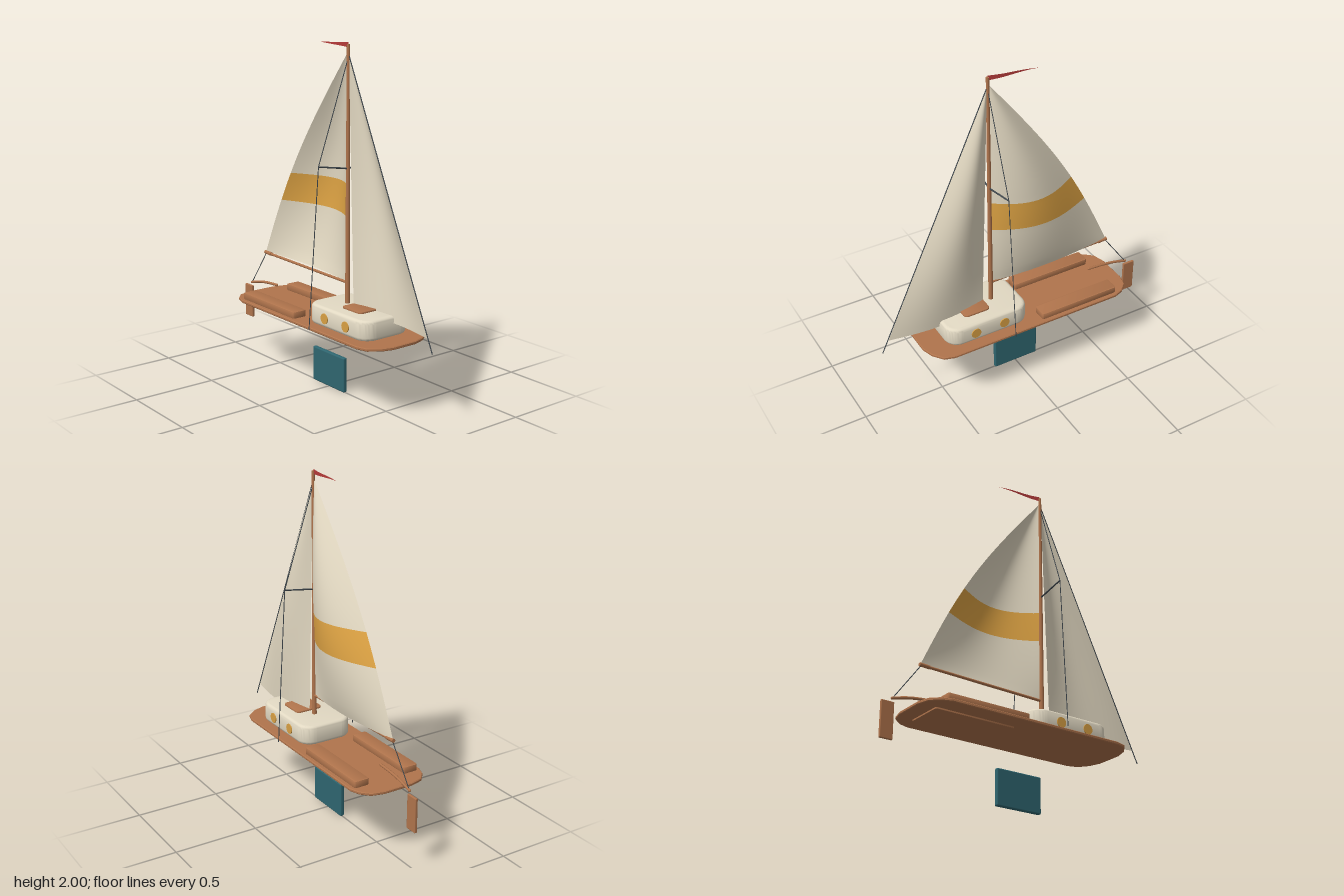
import * as THREE from 'three';
import { toCreasedNormals } from 'three/addons/utils/BufferGeometryUtils.js';
import { RoundedBoxGeometry } from 'three/addons/geometries/RoundedBoxGeometry.js';

const paint = (name, color, side = THREE.FrontSide) => {
  const m = new THREE.MeshStandardMaterial({ color, side });
  m.name = name;
  return m;
};
const V = (x, y, z) => new THREE.Vector3(x, y, z);

// Rounded rectangle in the x-z plane
function roundedRect(halfX, z0, z1, r) {
  const s = new THREE.Shape();
  s.moveTo(-halfX + r, z0);
  s.lineTo(halfX - r, z0);
  s.absarc(halfX - r, z0 + r, r, -Math.PI / 2, 0, false);
  s.absarc(halfX - r, z1 - r, r, 0, Math.PI / 2, false);
  s.absarc(-halfX + r, z1 - r, r, Math.PI / 2, Math.PI, false);
  s.absarc(-halfX + r, z0 + r, r, Math.PI, Math.PI * 1.5, false);
  return s;
}

// Horizontal slab between two heights, with a bevel grown inwards
function slab(shape, y0, y1, bevel, bevelSegments = 2) {
  const g = new THREE.ExtrudeGeometry(shape, {
    depth: y1 - y0 - 2 * bevel, bevelEnabled: true, bevelSize: bevel, bevelOffset: -bevel,
    bevelThickness: bevel, bevelSegments, curveSegments: 8,
  });
  g.rotateX(Math.PI / 2);
  g.translate(0, y1 - bevel, 0);
  return toCreasedNormals(g, 0.6);
}

// Straight round bar from a to b
function bar(a, b, r0, r1 = r0, sides = 10) {
  const d = b.clone().sub(a);
  const g = new THREE.CylinderGeometry(r1, r0, d.length(), sides);
  g.applyQuaternion(new THREE.Quaternion().setFromUnitVectors(V(0, 1, 0), d.normalize()));
  const mid = a.clone().add(b).multiplyScalar(0.5);
  return g.translate(mid.x, mid.y, mid.z);
}

// Smooth grid over u = 0..1 and v = v0..v1
function sheet(at, v0, v1, nu, nv) {
  const pos = [], index = [];
  for (let j = 0; j <= nv; j++) {
    for (let i = 0; i <= nu; i++) {
      pos.push(...at(i / nu, v0 + (v1 - v0) * j / nv));
      if (i < nu && j < nv) {
        const a = j * (nu + 1) + i, b = a + nu + 1;
        index.push(a, a + 1, b, a + 1, b + 1, b);
      }
    }
  }
  const g = new THREE.BufferGeometry();
  g.setAttribute('position', new THREE.Float32BufferAttribute(pos, 3));
  g.setIndex(index);
  g.computeVertexNormals();
  return g;
}

// Mainsail: straight luff on the mast, rounded leech, belly towards +x
function mainsailAt(u, v) {
  const chord = 0.785 * (1 - v) + 0.075 * Math.sin(Math.PI * v);
  const belly = 0.03 * (1 - v) + 0.088 * Math.sin(Math.PI * Math.pow(v, 0.85));
  return [
    belly * Math.sin(Math.PI * Math.pow(u, 0.9)),
    0.665 + 1.275 * v + 0.02 * u * Math.pow(1 - v, 4),
    0.15 - chord * u,
  ];
}

// Jib: luff on the forestay, leech just ahead of the mast
function jibAt(u, v) {
  const luff = 0.82 + (0.168 - 0.82) * v, leech = 0.215 + (0.165 - 0.215) * v;
  const belly = 0.035 * (1 - v) + 0.048 * Math.sin(Math.PI * v);
  return [belly * Math.sin(Math.PI * u), 0.505 + 1.415 * v, luff + (leech - luff) * u];
}

export function createModel() {
  const wood = paint('wood', 0xb0744c);
  const cream = paint('cabin cream', 0xe2d9c3);
  const canvas = paint('sail canvas', 0xe4dac3, THREE.DoubleSide);
  const stripe = paint('sail stripe gold', 0xdfa444, THREE.DoubleSide);
  const brass = paint('porthole gold', 0xd9a044);
  const teal = paint('keel teal', 0x2f6670);
  const wire = paint('rigging grey', 0x40484e);
  const red = paint('pennant red', 0xb83c3a, THREE.DoubleSide);

  const boat = new THREE.Group();
  boat.name = 'sailboat';
  const add = (name, geometry, material) => {
    const m = new THREE.Mesh(geometry, material);
    m.name = name;
    boat.add(m);
    return m;
  };

  // Deck with clipped corners
  const half = [[0.09, -0.698], [0.165, -0.678], [0.21, -0.628], [0.23, -0.57],
    [0.23, 0.515], [0.21, 0.58], [0.15, 0.626], [0.08, 0.648]];
  const outline = [...half, ...half.map(([x, z]) => [-x, z]).reverse()];
  const deck = new THREE.Shape(outline.map(([x, z]) => new THREE.Vector2(x, z)));
  add('deck', slab(deck, 0.412, 0.43, 0.004, 1), wood);
  add('cockpitFloor', slab(roundedRect(0.118, -0.605, -0.11, 0.01), 0.402, 0.416, 0.002, 1), wood);

  // Cabin and hatch
  add('cabin', slab(roundedRect(0.168, -0.008, 0.515, 0.085), 0.426, 0.543, 0.022, 4), cream);
  add('hatch', slab(roundedRect(0.086, 0.21, 0.375, 0.025), 0.535, 0.553, 0.004), wood);

  // Mirrored pairs: benches, portholes, spreaders and shrouds
  const masthead = V(0, 1.92, 0.16);
  for (const [side, s] of [['left', 1], ['right', -1]]) {
    const bench = slab(roundedRect(0.046, -0.587, -0.072, 0.014), 0.428, 0.468, 0.005);
    add(side + 'Bench', bench.translate(s * 0.161, 0, 0), wood);
    for (const z of [0.35, 0.165]) {
      const disc = new THREE.CylinderGeometry(0.03, 0.03, 0.009, 24).rotateZ(Math.PI / 2);
      add(side + 'Porthole', disc.translate(s * 0.169, 0.483, z), brass);
    }
    const tip = V(s * 0.197, 1.34, 0.15);
    add(side + 'Spreader', bar(V(0, 1.312, 0.16), tip, 0.005, 0.004, 8), wire);
    add(side + 'UpperShroud', bar(tip, masthead, 0.0025, 0.0025, 6), wire);
    add(side + 'LowerShroud', bar(V(s * 0.258, 0.43, 0.14), tip, 0.0025, 0.0025, 6), wire);
  }

  // Mast and boom
  add('mast', bar(V(0, 0.54, 0.16), V(0, 1.99, 0.16), 0.014, 0.009, 14), wood);
  add('boom', bar(V(0, 0.662, 0.15), V(0, 0.678, -0.635), 0.008, 0.008), wood);
  add('boomEnd', bar(V(0, 0.677, -0.58), V(0, 0.68, -0.642), 0.011, 0.011), wood);

  // Sails, the main in three bands
  add('mainsailLower', sheet(mainsailAt, 0, 0.286, 20, 10), canvas);
  add('mainsailStripe', sheet(mainsailAt, 0.286, 0.427, 20, 6), stripe);
  add('mainsailUpper', sheet(mainsailAt, 0.427, 1, 20, 18), canvas);
  add('jib', sheet(jibAt, 0, 1, 18, 28), canvas);

  // Stay and sheet
  add('forestay', bar(V(0, 0.43, 0.86), V(0, 1.93, 0.165), 0.003, 0.003, 6), wire);
  add('mainsheet', bar(V(0, 0.685, -0.625), V(0, 0.45, -0.795), 0.0025, 0.0025, 6), wire);

  // Pennant at the masthead
  add('pennant', sheet((u, v) => [
    0.034 * u + 0.004 * Math.sin(u * Math.PI * 2),
    1.986 + (v - 0.5) * 0.028 * (1 - u),
    0.16 - 0.285 * u,
  ], 0, 1, 10, 1), red);

  // Tiller and rudder
  const tillerPath = new THREE.CatmullRomCurve3([
    V(0, 0.493, -0.525), V(0, 0.488, -0.61), V(0, 0.476, -0.7), V(0, 0.452, -0.795)]);
  add('tiller', new THREE.TubeGeometry(tillerPath, 16, 0.008, 10), wood);
  for (const [t, name] of [[0, 'tillerGrip'], [1, 'tillerHead']]) {
    const p = tillerPath.getPoint(t);
    add(name, new THREE.SphereGeometry(0.008, 10, 8), wood).position.copy(p);
  }
  add('rudder', new RoundedBoxGeometry(0.016, 0.204, 0.076, 1, 0.004), wood)
    .position.set(0, 0.329, -0.822);

  // Keel fin
  add('keel', new RoundedBoxGeometry(0.026, 0.208, 0.29, 2, 0.008), teal)
    .position.set(0, 0.104, -0.003);

  return boat;
}
